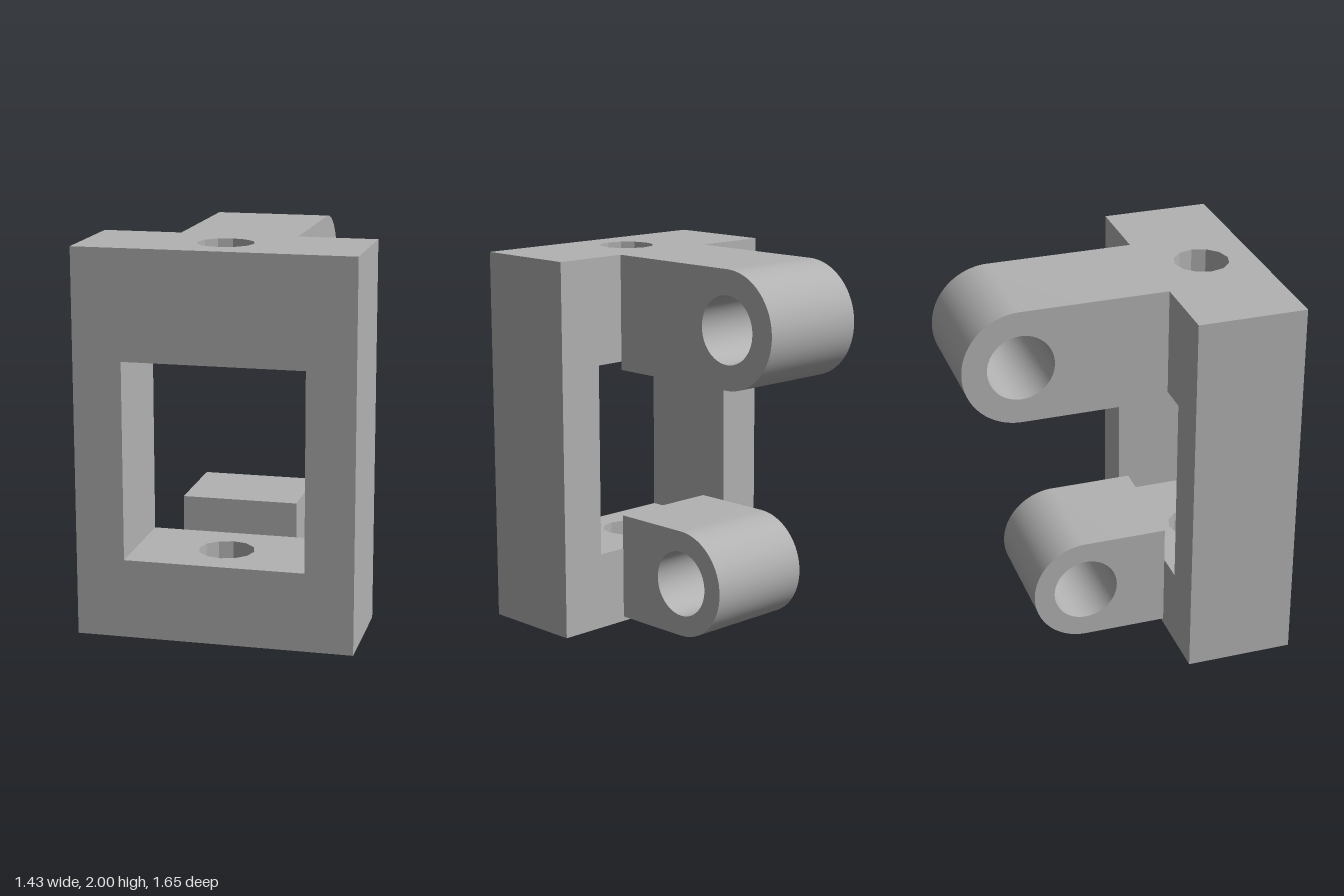
import * as THREE from 'three';
import { toCreasedNormals } from 'three/addons/utils/BufferGeometryUtils.js';

const HALF_W = 0.715, BACK = 0.255, FRONT = 0.825;
const MID_Z = (BACK + FRONT) / 2, DEPTH = FRONT - BACK;
const WIN_BOTTOM = 0.41, WIN_TOP = 1.435, WIN_HALF = 0.465;

function circleHole(x, y, r) {
  const hole = new THREE.Path();
  hole.absarc(x, y, r, 0, Math.PI * 2, true);
  return hole;
}

// Horizontal frame bar with a vertical twelve-sided bore
function barGeometry(y0, y1) {
  const s = new THREE.Shape();
  s.moveTo(-HALF_W, -DEPTH / 2);
  s.lineTo(HALF_W, -DEPTH / 2);
  s.lineTo(HALF_W, DEPTH / 2);
  s.lineTo(-HALF_W, DEPTH / 2);
  s.closePath();
  s.holes.push(circleHole(0, 0, 0.145));
  const g = new THREE.ExtrudeGeometry(s, { depth: y1 - y0, bevelEnabled: false, curveSegments: 6 });
  return g.rotateX(-Math.PI / 2).translate(0, y0, MID_Z);
}

// Round-ended lug reaching backwards, with a cross bore
function lugGeometry(y, z, r, bore) {
  const halfWidth = 0.305;
  const s = new THREE.Shape();
  s.moveTo(-BACK, y - r);
  s.lineTo(-z, y - r);
  s.absarc(-z, y, r, -Math.PI / 2, Math.PI / 2, false);
  s.lineTo(-BACK, y + r);
  s.closePath();
  s.holes.push(circleHole(-z, y, bore));
  const g = new THREE.ExtrudeGeometry(s, { depth: halfWidth * 2, bevelEnabled: false, curveSegments: 24 });
  g.rotateY(Math.PI / 2).translate(-halfWidth, 0, 0);
  return toCreasedNormals(g, 0.5);
}

export function createModel() {
  const group = new THREE.Group();
  group.name = 'hingeBracket';
  const grey = new THREE.MeshStandardMaterial({ color: 0xb2b2b2 });
  grey.name = 'plain grey';
  const add = (name, geometry) => {
    const mesh = new THREE.Mesh(geometry, grey);
    mesh.name = name;
    group.add(mesh);
  };

  // Rectangular frame around the window
  add('bottomBar', barGeometry(0, WIN_BOTTOM));
  add('topBar', barGeometry(WIN_TOP, 2));
  for (const side of [1, -1]) {
    const post = new THREE.BoxGeometry(HALF_W - WIN_HALF, WIN_TOP - WIN_BOTTOM, DEPTH);
    post.translate(side * (HALF_W + WIN_HALF) / 2, (WIN_TOP + WIN_BOTTOM) / 2, MID_Z);
    add(side > 0 ? 'leftPost' : 'rightPost', post);
  }

  // Long upper lug and short lower lug
  add('upperLug', lugGeometry(1.695, -0.52, 0.305, 0.175));
  add('lowerLug', lugGeometry(0.31, -0.19, 0.285, 0.175));
  return group;
}
